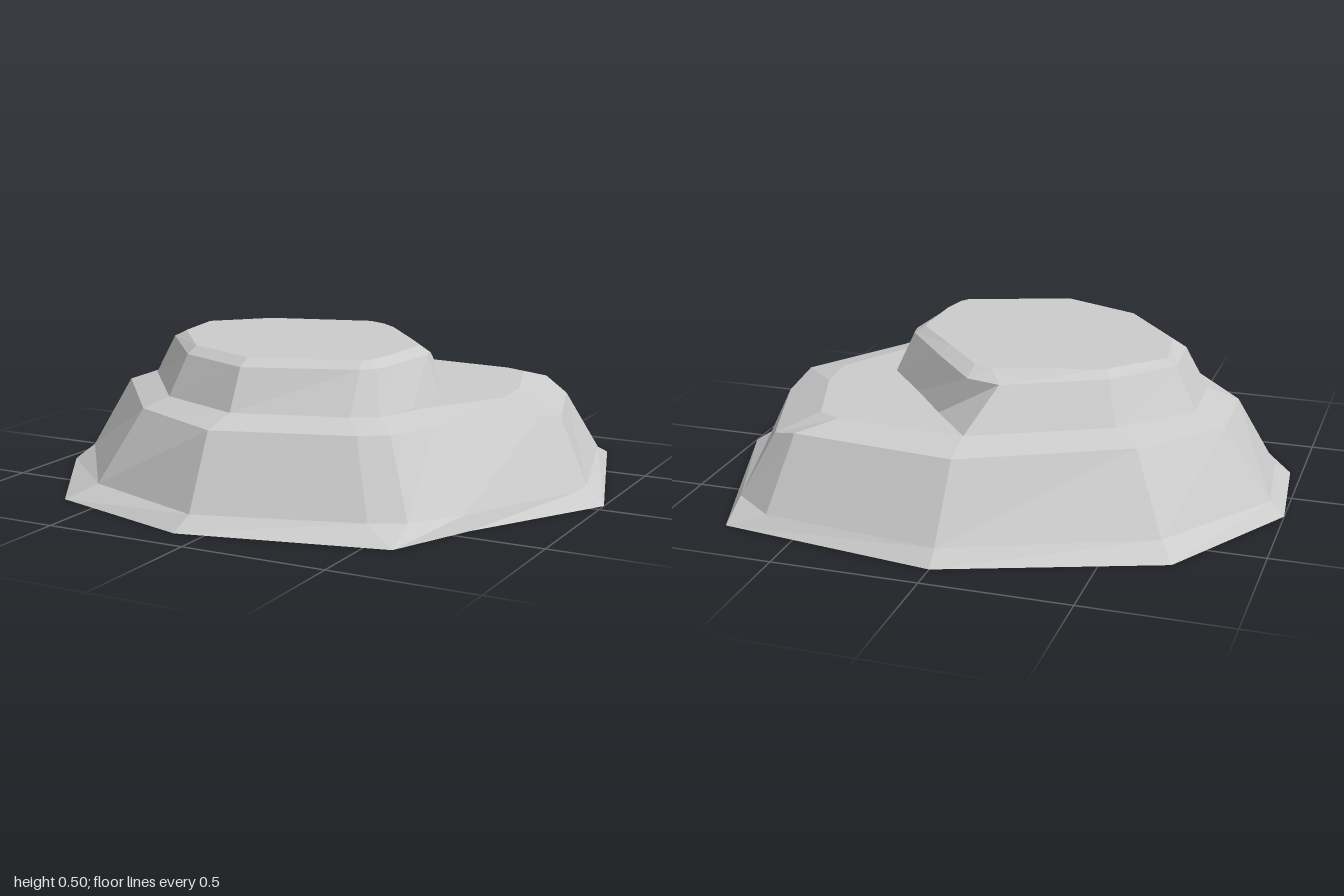
import * as THREE from 'three';

// Each ring lists [x, z, y] corners: back, right, front, left.
const level = (y, pts) => pts.map(([x, z, h = y]) => [x, h, z]);

const foot = level(0, [
  [0, -0.9], [0.76, -0.79], [0.76, -0.79], [1, -0.05], [1, -0.05], [0.72, 0.43], [0.59, 0.73],
  [0.59, 0.73], [-0.1, 0.89], [-0.65, 0.72], [-0.96, 0.23], [-1, -0.16], [-0.72, -0.64]]);
const skirt = level(0.05, [
  [0, -0.85], [0.62, -0.77], [0.77, -0.65], [0.92, -0.1], [0.92, -0.01], [0.7, 0.43], [0.58, 0.6],
  [0.47, 0.66], [-0.08, 0.83], [-0.56, 0.65], [-0.91, 0.18], [-0.95, -0.16], [-0.67, -0.57]]);
const rim = level(0.3, [
  [-0.01, -0.71], [0.56, -0.65], [0.67, -0.57, 0.26], [0.8, -0.16, 0.26], [0.78, -0.02], [0.55, 0.34], [0.47, 0.5],
  [0.38, 0.56], [-0.08, 0.71], [-0.45, 0.53], [-0.78, 0.12], [-0.79, -0.16], [-0.55, -0.44]]);
const ridge = level(0.335, [
  [-0.01, -0.59], [0.44, -0.56], [0.52, -0.52], [0.62, -0.22], [0.63, -0.05], [0.47, 0.22], [0.39, 0.42],
  [0.31, 0.47], [-0.07, 0.59], [-0.39, 0.46], [-0.67, 0.11], [-0.68, -0.14], [-0.46, -0.37]]);
const capFoot = level(0.335, [
  [-0.01, -0.59], [0.14, -0.41], [0.28, -0.23], [0.43, -0.05], [0.44, 0.04], [0.43, 0.24], [0.39, 0.42],
  [0.31, 0.47], [-0.07, 0.59], [-0.39, 0.46], [-0.67, 0.11], [-0.68, -0.14], [-0.46, -0.37]]);
const capEdge = level(0.475, [
  [-0.09, -0.46], [0.03, -0.43], [0.2, -0.23], [0.37, -0.02], [0.38, 0.03], [0.36, 0.23], [0.34, 0.34],
  [0.3, 0.38], [-0.07, 0.52], [-0.35, 0.4], [-0.59, 0.11], [-0.6, -0.1], [-0.42, -0.3]]);
const capTop = level(0.5, [
  [-0.04, -0.38], [0.03, -0.35], [0.18, -0.18], [0.33, -0.01], [0.335, 0.03], [0.33, 0.22], [0.31, 0.32],
  [0.29, 0.35], [-0.07, 0.47], [-0.34, 0.36], [-0.54, 0.11], [-0.57, -0.1], [-0.4, -0.27]]);

// Joins rings from bottom to top, closing the ends where asked
function loft(name, rings, closeBottom, closeTop) {
  const pos = [];
  const same = (p, q) => p.every((v, i) => v === q[i]);
  const tri = (a, b, c) => {
    if (!same(a, b) && !same(b, c) && !same(a, c)) pos.push(...a, ...b, ...c);
  };
  const n = rings[0].length;
  for (let r = 0; r < rings.length - 1; r++) {
    for (let i = 0; i < n; i++) {
      const j = (i + 1) % n;
      tri(rings[r][i], rings[r + 1][i], rings[r][j]);
      tri(rings[r][j], rings[r + 1][i], rings[r + 1][j]);
    }
  }
  const first = rings[0], last = rings[rings.length - 1];
  for (let i = 0; i < n; i++) {
    const j = (i + 1) % n;
    if (closeBottom) tri([0, first[0][1], 0], first[i], first[j]);
    if (closeTop) tri([-0.1, last[0][1], 0.05], last[j], last[i]);
  }
  const geometry = new THREE.BufferGeometry();
  geometry.setAttribute('position', new THREE.Float32BufferAttribute(pos, 3));
  geometry.computeVertexNormals();
  const mesh = new THREE.Mesh(geometry, new THREE.MeshStandardMaterial({ color: 0xcccccc, flatShading: true }));
  mesh.name = name;
  return mesh;
}

export function createModel() {
  const group = new THREE.Group();
  group.name = 'steppedRock';
  // Wide lower tier with its sloping shoulder
  group.add(loft('lowerTier', [foot, skirt, rim, ridge, capFoot], true, false));
  // Smaller bevelled slab on top
  group.add(loft('upperTier', [capFoot, capEdge, capTop], false, true));
  return group;
}
